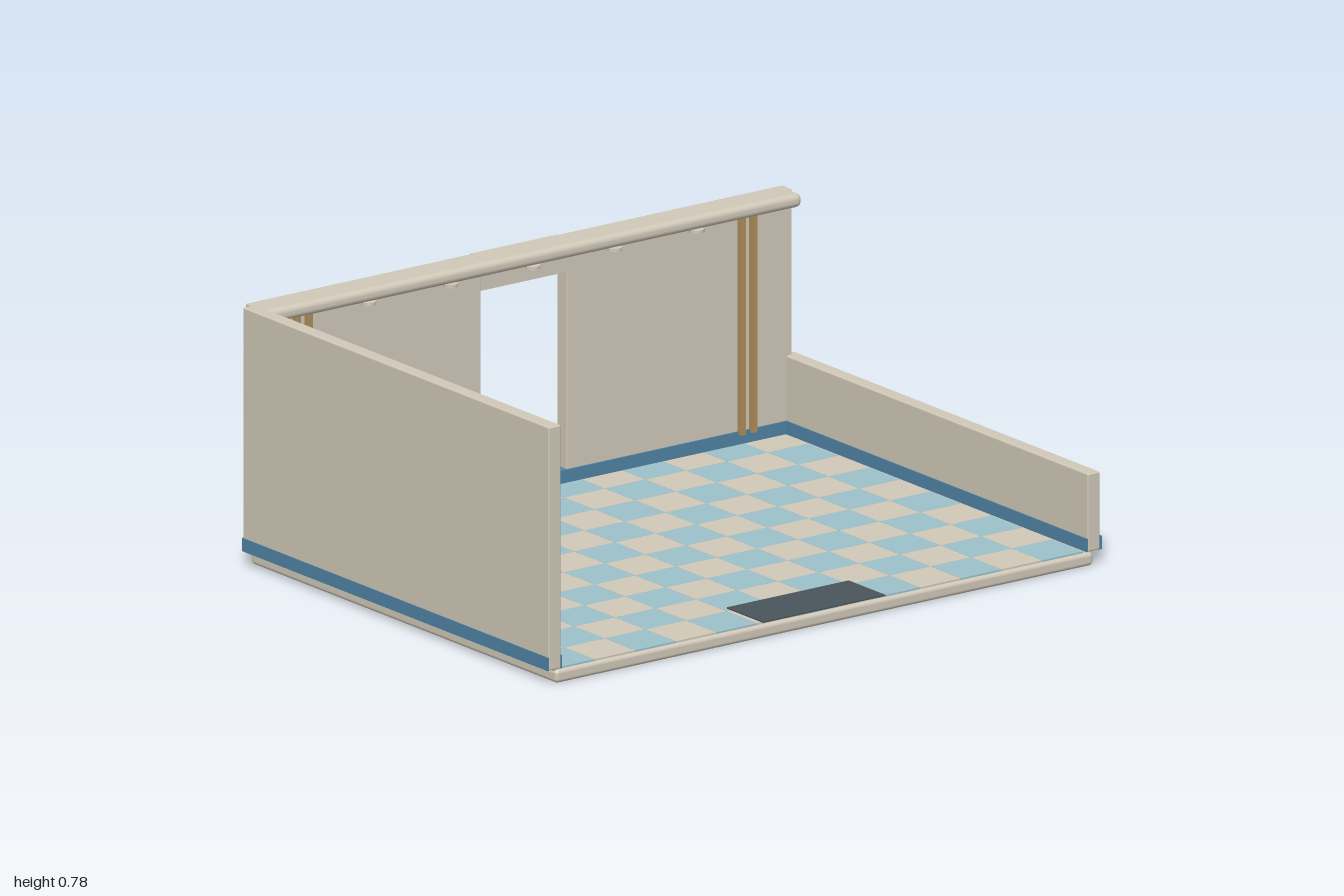
import * as THREE from 'three';
import { RoundedBoxGeometry } from 'three/addons/geometries/RoundedBoxGeometry.js';

const mat = (color) => new THREE.MeshStandardMaterial({ color });

export function createModel() {
  const room = new THREE.Group();
  room.name = 'room';
  const cream = mat(0xd0c8b8), blue = mat(0x5083a5), tileBlue = mat(0x9cc0ca);
  const slate = mat(0x4a545c), wood = mat(0xb08d5a);

  // Box given by its extents on each axis, optionally with rounded edges
  function block(name, material, [x0, x1], [y0, y1], [z0, z1], radius = 0, parent = room) {
    const w = x1 - x0, h = y1 - y0, d = z1 - z0;
    const geometry = radius
      ? new RoundedBoxGeometry(w, h, d, 3, radius)
      : new THREE.BoxGeometry(w, h, d);
    const mesh = new THREE.Mesh(geometry, material);
    mesh.position.set((x0 + x1) / 2, (y0 + y1) / 2, (z0 + z1) / 2);
    mesh.name = name;
    parent.add(mesh);
    return mesh;
  }

  const base = 0.044, top = 0.78, skirt = [base, 0.084];

  // Floor slab
  block('floorSlab', cream, [-0.97, 0.97], [0, 0.04], [-0.722, 0.75], 0.012);

  // Checkered floor tiles
  const tiles = new THREE.Group();
  tiles.name = 'floorTiles';
  room.add(tiles);
  const pitch = 0.1469;
  for (let r = 0; r < 10; r++) {
    for (let c = 0; c < 13; c++) {
      const x = -0.97 + c * pitch, z = -0.73 + r * pitch;
      block('tile', (r + c) % 2 ? tileBlue : cream,
        [x, x + pitch - 0.001], [0.036, 0.045], [z, z + pitch - 0.001], 0, tiles);
    }
  }

  // Door mat at the open front
  block('doorMat', slate, [-0.22, 0.22], [0.045, 0.049], [0.57, 0.746]);

  // Side walls: full height on one side, low on the other
  block('tallWall', cream, [-0.997, -0.953], [base, top], [-0.723, 0.75], 0.005);
  block('lowWall', cream, [0.948, 0.992], [base, 0.28], [-0.723, 0.75], 0.005);

  // Back wall on both sides of the doorway, and the lintel above it
  const backZ = [-0.747, -0.7];
  for (const s of [-1, 1]) {
    const xs = [s * 0.155, s * 0.968].sort((a, b) => a - b);
    block('backWall', cream, xs, [base, top], backZ, 0.003);
  }
  block('lintel', cream, [-0.156, 0.156], [0.68, top], [-0.75, -0.699]);

  // Skirting on both faces of every wall, running across the doorway
  for (const x of [-1, -0.954, 0.944, 0.99]) {
    block('sideSkirting', blue, [x, x + (x === 0.99 ? 0.01 : 0.005)], skirt, [-0.723, 0.749]);
  }
  block('backSkirting', blue, [-0.97, 0.97], skirt, [-0.75, -0.695]);

  // Rounded rail along the top of the back wall
  block('topRail', cream, [-0.965, 0.967], [0.738, top], [-0.646, -0.72].reverse(), 0.018);

  // Small spotlights under the rail
  for (let i = -2; i <= 2; i++) {
    const lamp = new THREE.Mesh(new THREE.CylinderGeometry(0.022, 0.022, 0.01, 20), cream);
    lamp.position.set(i * 0.296, 0.735, -0.658);
    lamp.name = 'spotlight';
    room.add(lamp);
  }

  // Paired wooden posts against the back wall
  for (const x of [-0.825, -0.783, 0.779, 0.821]) {
    block('post', wood, [x - 0.009, x + 0.009], [0.075, 0.742], [-0.701, -0.683]);
  }

  return room;
}
